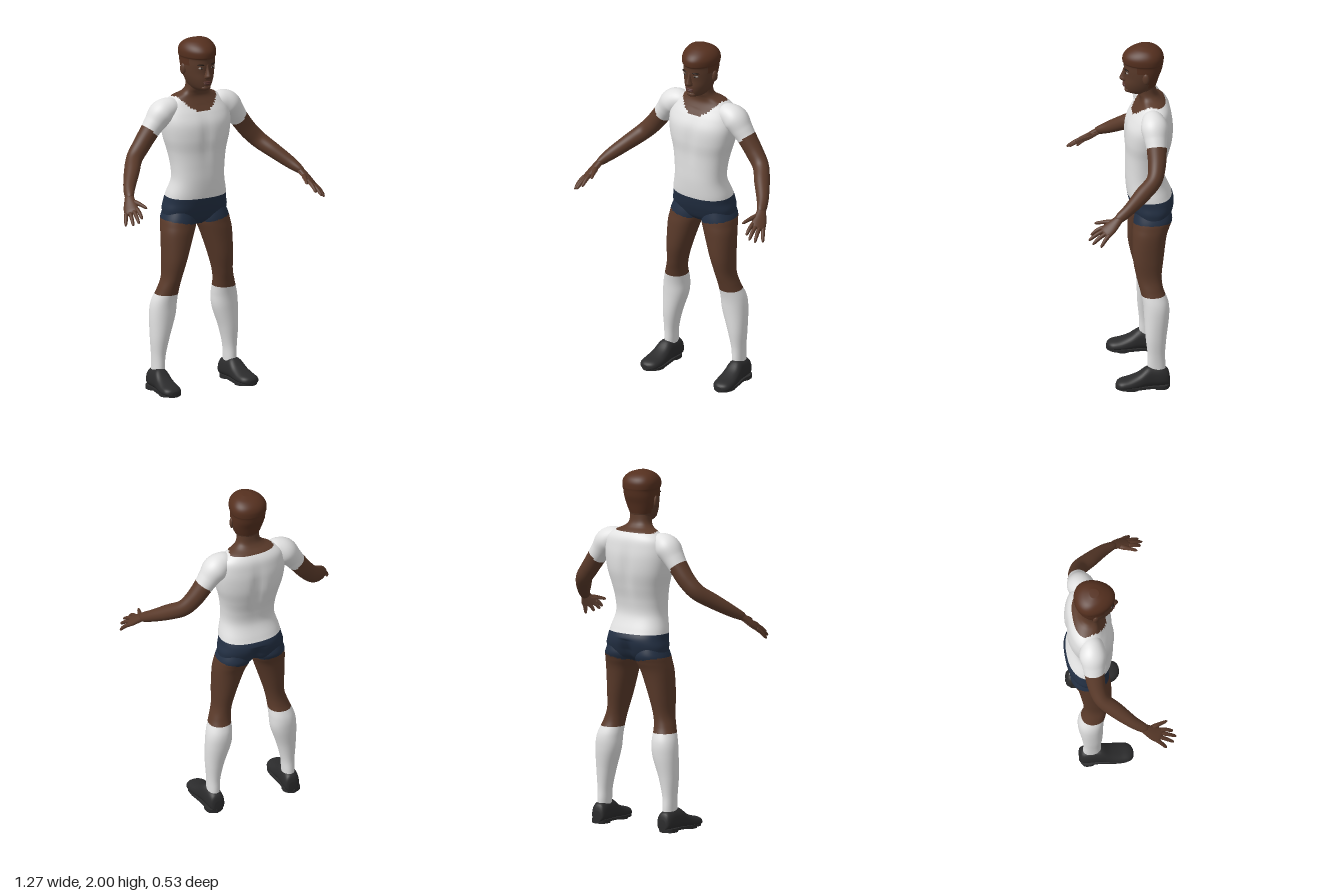
import * as THREE from 'three';

const mat = (name, color) => {
  const m = new THREE.MeshStandardMaterial({ color });
  m.name = name;
  return m;
};
const V = (x, y, z) => new THREE.Vector3(x, y, z);

// Catmull-Rom resampling of rows of numbers
function resample(rows, steps) {
  const out = [], at = i => rows[Math.max(0, Math.min(rows.length - 1, i))];
  for (let i = 0; i < rows.length - 1; i++)
    for (let k = 0; k < steps; k++) {
      const t = k / steps, [a, b, c, d] = [at(i - 1), at(i), at(i + 1), at(i + 2)];
      out.push(b.map((_, j) => 0.5 * (2 * b[j] + (c[j] - a[j]) * t
        + (2 * a[j] - 5 * b[j] + 4 * c[j] - d[j]) * t * t
        + (3 * b[j] - a[j] - 3 * c[j] + d[j]) * t * t * t)));
    }
  out.push(at(rows.length - 1).slice());
  return out;
}

// Skin over rings {c, u, v}; paint(centre, normal) picks the material of each quad
function loft(rings, { segs = 40, power = 2, egg = 0, warp, paint = () => 0 } = {}) {
  const pts = [], n = rings.length;
  const pw = t => Math.sign(t) * Math.pow(Math.abs(t), 2 / power);
  for (const { c, u, v } of rings)
    for (let j = 0; j < segs; j++) {
      const a = j / segs * Math.PI * 2, s = pw(Math.sin(a));
      const p = c.clone().addScaledVector(u, pw(Math.cos(a)) * (1 - egg * s)).addScaledVector(v, s);
      if (warp) warp(p);
      pts.push(p);
    }
  pts.push(rings[0].c.clone(), rings[n - 1].c.clone());
  const mid = n >> 1;
  const flip = rings[mid].u.clone().cross(rings[mid].v)
    .dot(rings[mid + 1 < n ? mid + 1 : mid].c.clone().sub(rings[mid - 1].c)) < 0;
  const lists = [];
  const add = (tris) => {
    const f = flip ? tris.map(([a, b, c]) => [a, c, b]) : tris;
    const [a, b, c] = f[0].map(i => pts[i]);
    const nor = b.clone().sub(a).cross(c.clone().sub(a)).normalize();
    const ids = [...new Set(tris.flat())], cen = V(0, 0, 0);
    ids.forEach(i => cen.addScaledVector(pts[i], 1 / ids.length));
    const k = paint(cen, nor);
    (lists[k] ||= []).push(...f.flat());
  };
  for (let i = 0; i < n - 1; i++)
    for (let j = 0; j < segs; j++) {
      const a = i * segs + j, b = i * segs + (j + 1) % segs;
      add([[a, b, b + segs], [a, b + segs, a + segs]]);
    }
  for (let j = 0; j < segs; j++) {
    const k = (j + 1) % segs, e = (n - 1) * segs;
    add([[n * segs, k, j]]);
    add([[n * segs + 1, e + j, e + k]]);
  }
  const g = new THREE.BufferGeometry();
  g.setAttribute('position', new THREE.Float32BufferAttribute(pts.flatMap(p => p.toArray()), 3));
  let start = 0;
  lists.forEach((l, k) => { g.addGroup(start, l.length, k); start += l.length; });
  g.setIndex(lists.filter(Boolean).flat());
  g.computeVertexNormals();
  return g;
}

// Horizontal rings from rows [y, xInner, xOuter, zFront, zBack]
const levels = (rows, steps, s = 1) => resample(rows, steps).map(([y, x0, x1, f, b]) => ({
  c: V(s * (x0 + x1) / 2, y, (f + b) / 2), u: V((x1 - x0) / 2, 0, 0), v: V(0, 0, (f - b) / 2) }));
// Same, symmetric about x = 0, from rows [y, halfWidth, zFront, zBack]
const stack = (rows, steps) => levels(rows.map(([y, w, f, b]) => [y, -w, w, f, b]), steps);

// Rings square to a path, from rows [x, y, z, width, thickness]; "side" sets the width direction
function limb(rows, steps, s, side) {
  const r = resample(rows, steps), p = r.map(q => V(s * q[0], q[1], q[2]));
  return r.map((q, i) => {
    const t = p[Math.min(i + 1, p.length - 1)].clone().sub(p[Math.max(i - 1, 0)]).normalize();
    const u = side.clone().addScaledVector(t, -side.dot(t)).normalize();
    return { c: p[i], u: u.clone().multiplyScalar(q[3]), v: t.cross(u).multiplyScalar(q[4]) };
  });
}

export function createModel() {
  const skin = mat('skin', 0x5a3a2a), hair = mat('hair', 0x55301f), shirt = mat('white cloth', 0xe2e2e2),
    navy = mat('navy cloth', 0x233044), leather = mat('black leather', 0x2b2b2c), palmSkin = mat('palm skin', 0x7d5644),
    lip = mat('lips', 0x52302a), eyeWhite = mat('eye white', 0x8c8078), dark = mat('dark brown', 0x22160f);
  const model = new THREE.Group();
  const put = (name, geo, m, parent = model) => {
    const mesh = new THREE.Mesh(geo, m);
    mesh.name = name;
    parent.add(mesh);
    return mesh;
  };
  const blob = (name, m, x, y, z, sx, sy, sz, ry = 0) => {
    const b = put(name, new THREE.SphereGeometry(1, 20, 14), m);
    b.position.set(x, y, z); b.scale.set(sx, sy, sz); b.rotation.y = ry;
    return b;
  };

  // Torso: shorts, shirt with scooped neckline, and neck
  put('torso', loft(stack([
    [.935, .07, -.09, -.19], [.965, .17, -.055, -.235], [1.02, .19, -.03, -.26], [1.07, .18, -.015, -.266],
    [1.12, .172, -.006, -.247], [1.2, .153, 0, -.215], [1.28, .156, 0, -.22], [1.36, .17, 0, -.24],
    [1.44, .192, .005, -.258], [1.52, .204, -.002, -.262], [1.58, .2, -.028, -.256], [1.63, .18, -.06, -.245],
    [1.665, .135, -.078, -.222], [1.69, .085, -.078, -.19], [1.72, .064, -.068, -.172], [1.78, .06, -.06, -.166],
    [1.82, .055, -.06, -.16]], 8), {
    segs: 72, power: 2.35,
    // spine, chest and seat grooves
    warp: p => {
      const g = Math.exp(-((p.x / .03) ** 2)), h = Math.exp(-(((p.y - 1.45) / .12) ** 2));
      if (p.z < -.15) p.z += g * (p.y < 1.07 ? .03 * Math.max(0, Math.min(1, (1.09 - p.y) * 12)) : .014 * h);
      else if (p.z > -.06) p.z -= g * .008 * h;
    },
    paint: p => p.y < 1.1 ? 2 : Math.abs(p.x) < .13
      && p.y > (p.z > -.14 ? 1.59 + .085 * (p.x / .125) ** 2 : 1.664) ? 0 : 1,
  }), [skin, shirt, navy]);

  // Head with a fuller hair cap
  put('head', loft(stack([
    [1.708, .025, -.045, -.14], [1.722, .045, -.008, -.155], [1.745, .062, .002, -.165], [1.78, .077, .006, -.176],
    [1.82, .088, .003, -.188], [1.86, .093, .007, -.203], [1.895, .095, .009, -.21], [1.91, .1, .016, -.213],
    [1.94, .1, .014, -.212], [1.966, .088, -.006, -.198], [1.987, .064, -.04, -.168], [2, .026, -.075, -.125]], 7), {
    segs: 64, power: 2.1, egg: .17,
    paint: p => p.y > 1.9 || (p.z < -.06 && p.y > 1.86) || (p.z < -.12 && p.y > 1.765) ? 1 : 0,
  }), [skin, hair]);
  put('nose', loft(stack([[1.785, .008, .008, -.02], [1.793, .018, .022, -.02], [1.805, .018, .033, -.02],
    [1.82, .013, .028, -.02], [1.845, .009, .017, -.02], [1.87, .01, .009, -.02]], 4), { segs: 20 }), skin);
  blob('upperLip', lip, 0, 1.77, .004, .026, .006, .011);
  blob('lowerLip', lip, 0, 1.76, .003, .022, .007, .011);
  blob('chin', skin, 0, 1.735, -.012, .028, .016, .017);

  for (const s of [1, -1]) {
    const name = s > 0 ? 'left' : 'right';
    // Face details
    blob(name + 'Eye', eyeWhite, s * .035, 1.85, -.008, .014, .007, .01, s * .3);
    blob(name + 'Iris', dark, s * .034, 1.85, -.002, .006, .006, .006);
    blob(name + 'Eyebrow', dark, s * .036, 1.869, -.004, .021, .0045, .009, s * .35);
    blob(name + 'Ear', skin, s * .094, 1.833, -.105, .011, .032, .019, s * -.35);

    // Arm with short sleeve
    put(name + 'Arm', loft(limb([
      [.12, 1.605, -.135, .05, .05], [.165, 1.603, -.138, .066, .066], [.21, 1.582, -.142, .076, .072],
      [.25, 1.535, -.144, .064, .06], [.285, 1.488, -.145, .056, .053], [.34, 1.415, -.14, .049, .05],
      [.395, 1.355, -.118, .044, .047], [.45, 1.303, -.05, .044, .042], [.51, 1.246, .03, .034, .034],
      [.542, 1.212, .085, .028, .023], [.55, 1.2, .1, .02, .015]], 8, s, V(0, 0, 1)), {
      segs: 36, paint: p => Math.abs(p.x) * .64 - p.y * .77 < -.968 ? 1 : 0 }), [skin, shirt]);

    // Hand: palm, four fingers and thumb
    const hand = new THREE.Group();
    hand.name = name + 'Hand';
    model.add(hand);
    const across = V(s * .78, -.42, -.47), up = V(s * .59, .75, .31);
    const opts = { segs: 16, paint: (p, n) => n.dot(up) < -.45 ? 1 : 0 };
    put('palm', loft(limb([[.54, 1.214, .082, .024, .019], [.553, 1.193, .108, .03, .019],
      [.567, 1.164, .143, .04, .018], [.576, 1.145, .17, .041, .015], [.58, 1.136, .182, .034, .009]],
      5, s, across), { ...opts, segs: 28 }), [skin, palmSkin], hand);
    const tips = [[.552, 1.118, .25], [.58, 1.1, .264], [.606, 1.086, .246], [.63, 1.077, .202]];
    [...tips, [.508, 1.168, .225]].forEach((tip, i) => {
      const o = (i - 1.5) * .021;
      const root = i < 4 ? [.574 + .78 * o, 1.147 - .42 * o, .168 - .47 * o] : [.545, 1.188, .12];
      const bend = i < 4 ? .006 : .004;
      const at = (t, r) => [...root.map((a, k) => a + (tip[k] - a) * t + (k === 1 ? bend * Math.sin(t * Math.PI) : 0)), r, r];
      put(i < 4 ? 'finger' + (i + 1) : 'thumb', loft(limb([at(0, .012), at(.3, i < 4 ? .0115 : .014),
        at(.6, .0105), at(.9, .008), at(1, .003)], 4, s, across), opts), [skin, palmSkin], hand);
    });

    // Leg: shorts hem, bare thigh and knee, long sock
    put(name + 'Leg', loft(levels([
      [1.03, .02, .175, -.05, -.24], [.98, .006, .196, -.038, -.25], [.94, .01, .204, -.033, -.237],
      [.88, .033, .211, -.028, -.216], [.75, .077, .212, -.028, -.197], [.65, .106, .214, -.045, -.185],
      [.58, .117, .234, -.062, -.192], [.5, .119, .262, -.078, -.22], [.42, .126, .271, -.084, -.222],
      [.3, .164, .27, -.09, -.206], [.2, .188, .263, -.1, -.197], [.13, .194, .261, -.1, -.2],
      [.06, .196, .262, -.1, -.2]], 10, s), {
      segs: 48, power: 2.15,
      paint: p => p.y > .938 + .18 * Math.abs(p.x) ? 2 : p.y < .545 ? 1 : 0 }), [skin, shirt, navy]);

    // Shoe: upper from rows [z, halfWidth, top], sole and heel
    const shoe = new THREE.Group();
    shoe.name = name + 'Shoe';
    shoe.position.x = s * .235;
    model.add(shoe);
    const upper = resample([[-.222, .024, .07], [-.212, .04, .105], [-.18, .047, .122], [-.13, .047, .128],
      [-.095, .049, .125], [-.05, .054, .092], [0, .058, .07], [.045, .054, .06], [.068, .038, .05],
      [.078, .016, .038]], 4).map(([z, w, t]) => ({
      c: V(s * .012 * (z + .1) / .18, (t + .012) / 2, z), u: V(w, 0, 0), v: V(0, (t - .012) / 2, 0) }));
    put('upper', loft(upper, { segs: 32, power: 2.5, egg: .12 }), leather, shoe);
    const plate = (pts, depth, y) => {
      const shape = new THREE.Shape();
      shape.setFromPoints(new THREE.SplineCurve([...pts, pts[0]].map(([x, z]) =>
        new THREE.Vector2(s * x, -z))).getPoints(48).slice(0, -1));
      return new THREE.ExtrudeGeometry(shape, { depth, bevelEnabled: false }).rotateX(-Math.PI / 2).translate(0, y, 0);
    };
    put('sole', plate([[0, -.225], [.044, -.2], [.046, -.12], [.06, -.02], [.056, .045], [.012, .08],
      [-.04, .05], [-.054, -.01], [-.046, -.12], [-.044, -.2]], .014, .008), leather, shoe);
    put('heel', plate([[0, -.225], [.044, -.2], [.044, -.145], [0, -.135], [-.044, -.145], [-.044, -.2]],
      .022, 0), leather, shoe);
    put('soleTread', plate([[.01, .045], [.05, .02], [.052, -.03], [.005, -.07], [-.045, -.03], [-.04, .02]],
      .012, 0), leather, shoe);
  }
  return model;
}
